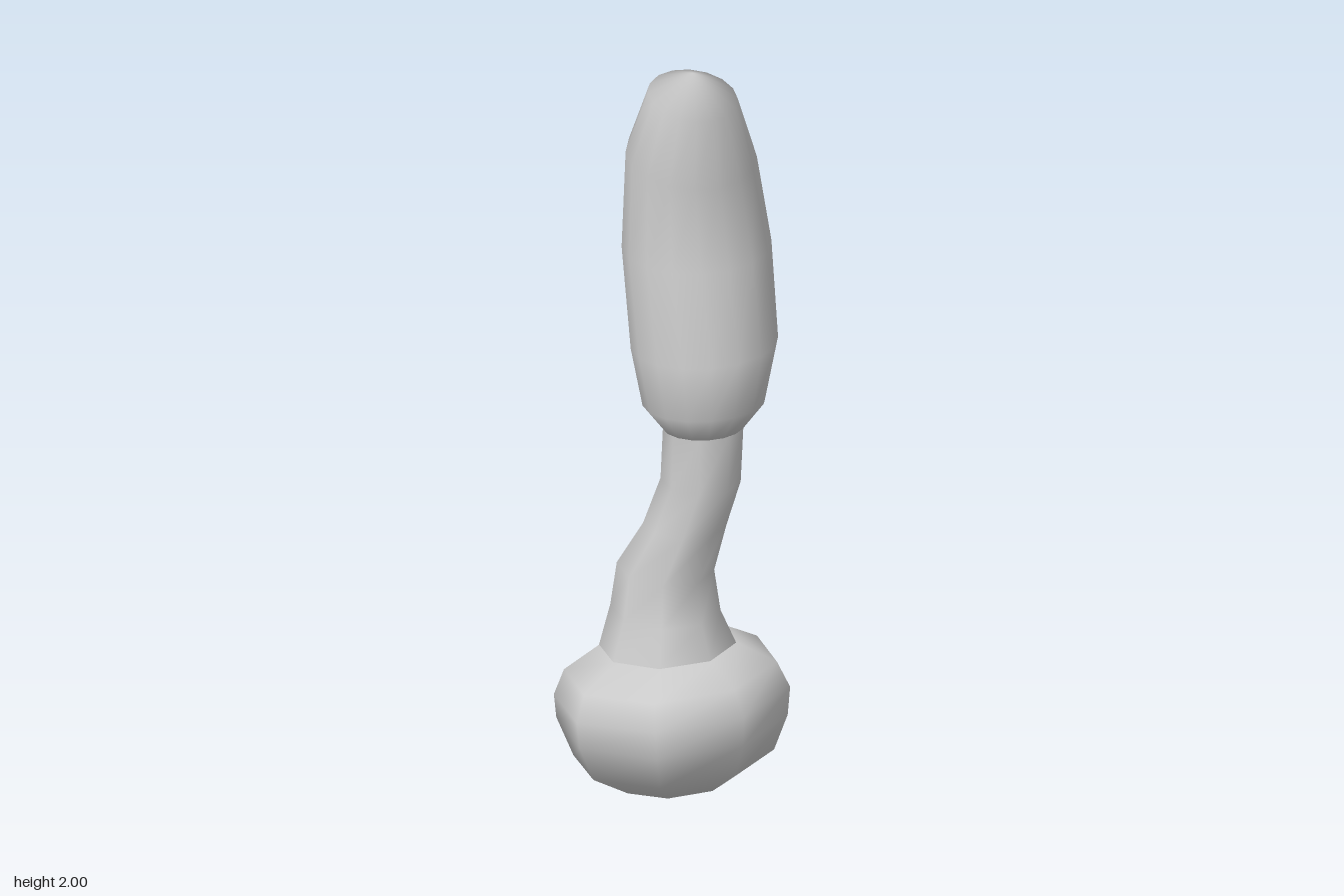
import * as THREE from 'three';

const material = new THREE.MeshStandardMaterial({ color: 0xcccccc });

// Smooth skin over elliptical rings [y, centreX, centreZ, radiusX, radiusZ, tilt],
// where tilt is the rise of the ring per unit of x. A ring of zero radius is a tip.
function loft(name, rings, sides, offset = 0) {
  const positions = [];
  const index = [];
  for (const [y, cx, cz, rx, rz, tilt = 0] of rings) {
    for (let i = 0; i < sides; i++) {
      const a = ((i + offset) / sides) * Math.PI * 2;
      const dx = rx * Math.cos(a);
      positions.push(cx + dx, y + tilt * dx, cz + rz * Math.sin(a));
    }
  }
  for (let r = 0; r < rings.length - 1; r++) {
    for (let i = 0; i < sides; i++) {
      const j = (i + 1) % sides;
      const a = r * sides + i, b = r * sides + j;
      const c = a + sides, d = b + sides;
      if (rings[r][3] > 0) index.push(a, c, b);
      if (rings[r + 1][3] > 0) index.push(b, c, d);
    }
  }
  const geometry = new THREE.BufferGeometry();
  geometry.setAttribute('position', new THREE.Float32BufferAttribute(positions, 3));
  geometry.setIndex(index);
  geometry.computeVertexNormals();
  // Let all copies of a tip point share one upright normal
  rings.forEach((ring, r) => {
    if (ring[3] > 0) return;
    for (let i = 0; i < sides; i++) {
      geometry.attributes.normal.setXYZ(r * sides + i, 0, r === 0 ? -1 : 1, 0);
    }
  });
  const mesh = new THREE.Mesh(geometry, material);
  mesh.name = name;
  return mesh;
}

export function createModel() {
  const group = new THREE.Group();
  group.name = 'bulbStalk';

  // Rounded eight-sided bulb, slightly tilted
  group.add(loft('bulb', [
    [0.003, 0.01, 0, 0, 0],
    [0.042, 0.015, 0, 0.145, 0.155, 0.09],
    [0.107, 0.007, 0, 0.243, 0.26, 0.09],
    [0.205, 0, 0, 0.28, 0.3, 0.06],
    [0.275, 0, 0, 0.284, 0.308, 0.09],
    [0.342, -0.006, 0, 0.253, 0.28, 0.09],
    [0.402, -0.008, 0.003, 0.172, 0.178, 0.07],
    [0.41, -0.01, 0.003, 0, 0],
  ], 8));

  // Bent, tapering stem
  group.add(loft('stem', [
    [0.36, -0.01, 0.005, 0.18, 0.185],
    [0.405, -0.012, 0.005, 0.168, 0.174, 0.08],
    [0.5, -0.02, 0.005, 0.143, 0.135],
    [0.612, -0.022, 0.003, 0.128, 0.118, -0.03],
    [0.735, 0.02, -0.025, 0.11, 0.1, 0.04],
    [0.865, 0.058, -0.045, 0.108, 0.095, 0.04],
    [1.02, 0.065, -0.048, 0.105, 0.098, 0.08],
    [1.06, 0.066, -0.048, 0.1, 0.095, 0.08],
  ], 8));

  // Long curved head with a blunt tip
  group.add(loft('head', [
    [1.005, 0.065, -0.048, 0, 0],
    [1.015, 0.065, -0.048, 0.106, 0.1, 0.08],
    [1.085, 0.066, -0.05, 0.159, 0.153, 0.1],
    [1.235, 0.051, -0.063, 0.184, 0.186, 0.08],
    [1.485, -0.002, -0.081, 0.18, 0.193, -0.02],
    [1.73, -0.013, -0.073, 0.156, 0.17, -0.2],
    [1.925, 0.048, -0.028, 0.11, 0.115, -0.23],
    [2.0, 0.068, -0.012, 0, 0],
  ], 16, 0.5));

  return group;
}
